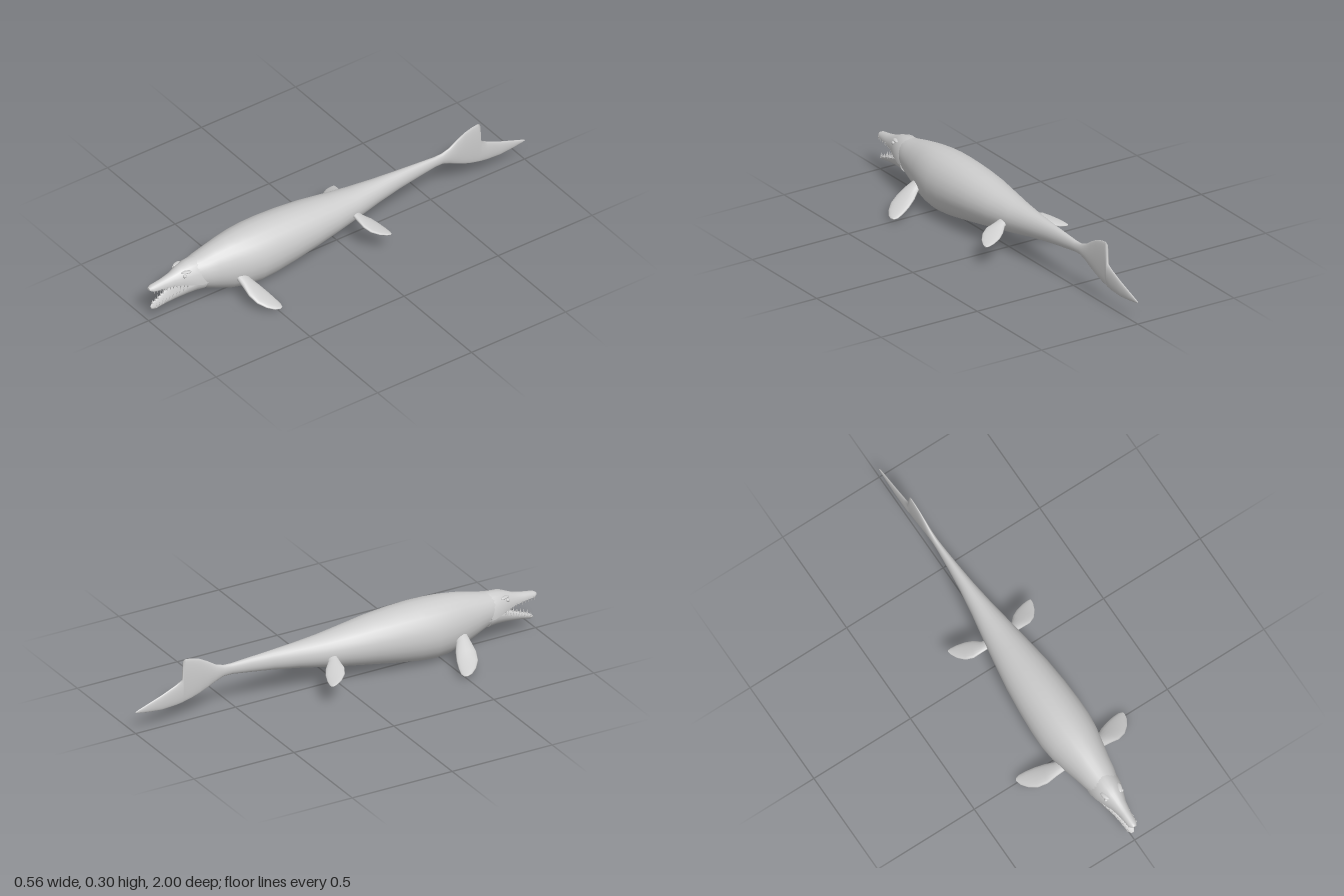
import * as THREE from 'three';

const material = new THREE.MeshStandardMaterial({ color: 0xcccccc, roughness: 0.8 });

// Skin a list of closed rings, with a fan cap at each end
function loft(rings) {
  const n = rings[0].length, pos = [], idx = [];
  rings.forEach(r => r.forEach(p => pos.push(p.x, p.y, p.z)));
  for (let i = 0; i < rings.length - 1; i++) {
    for (let k = 0; k < n; k++) {
      const a = i * n + k, j = i * n + (k + 1) % n;
      idx.push(a, a + n, j, j, a + n, j + n);
    }
  }
  [0, rings.length - 1].forEach((ri, end) => {
    const base = pos.length / 3;
    const c = rings[ri].reduce((s, p) => s.add(p), new THREE.Vector3()).divideScalar(n);
    [...rings[ri], c].forEach(p => pos.push(p.x, p.y, p.z));
    for (let k = 0; k < n; k++) {
      const a = base + k, j = base + (k + 1) % n;
      idx.push(base + n, ...(end ? [j, a] : [a, j]));
    }
  });
  const g = new THREE.BufferGeometry();
  g.setAttribute('position', new THREE.Float32BufferAttribute(pos, 3));
  g.setIndex(idx);
  g.computeVertexNormals();
  return g;
}

// Section station: [z, top, widest height, bottom, half width]
function section([z, top, mid, bottom, w], n = 24) {
  return Array.from({ length: n }, (_, k) => {
    const t = k / n * Math.PI * 2, s = Math.sin(t);
    return new THREE.Vector3(w * Math.cos(t), mid + s * (s > 0 ? top - mid : mid - bottom), z);
  });
}

// Linear lookup in a station list running from front to back
function sample(stations, z) {
  const i = Math.max(1, stations.findIndex(s => s[0] <= z));
  const a = stations[i - 1], b = stations[i], t = (z - a[0]) / (b[0] - a[0]);
  return a.map((v, k) => v + (b[k] - v) * t);
}

// Trunk, tail stem and two-lobed tail fin: [z, top, bottom, half width]
const BODY = [
  [0.79, 0.232, 0.088, 0.057], [0.73, 0.243, 0.078, 0.075], [0.67, 0.258, 0.05, 0.086],
  [0.6, 0.272, 0.022, 0.102], [0.53, 0.28, 0.008, 0.117], [0.46, 0.284, 0.003, 0.125],
  [0.38, 0.285, 0.011, 0.125], [0.28, 0.281, 0.028, 0.12], [0.16, 0.271, 0.051, 0.109],
  [0.04, 0.256, 0.073, 0.091], [-0.08, 0.243, 0.096, 0.071], [-0.2, 0.236, 0.12, 0.05],
  [-0.32, 0.231, 0.141, 0.033], [-0.43, 0.226, 0.157, 0.022], [-0.52, 0.221, 0.17, 0.015],
  [-0.56, 0.223, 0.17, 0.013], [-0.6, 0.236, 0.155, 0.012], [-0.64, 0.262, 0.135, 0.011],
  [-0.68, 0.284, 0.118, 0.01], [-0.72, 0.296, 0.105, 0.0095], [-0.75, 0.3, 0.098, 0.009],
  [-0.762, 0.295, 0.095, 0.009], [-0.766, 0.205, 0.094, 0.009], [-0.8, 0.185, 0.089, 0.009],
  [-0.87, 0.155, 0.085, 0.008], [-0.94, 0.13, 0.092, 0.006], [-0.985, 0.114, 0.099, 0.004],
  [-1, 0.107, 0.103, 0.002],
].map(([z, top, bottom, w]) => [z, top, (top + bottom) / 2, bottom, w]);

// Skull with a hollow palate
const UPPER_JAW = [
  [1, 0.178, 0.169, 0.167, 0.01], [0.985, 0.186, 0.165, 0.169, 0.021],
  [0.93, 0.195, 0.161, 0.167, 0.026], [0.88, 0.207, 0.158, 0.165, 0.035],
  [0.84, 0.225, 0.154, 0.162, 0.05], [0.8, 0.235, 0.145, 0.155, 0.064],
  [0.76, 0.239, 0.135, 0.14, 0.071], [0.72, 0.24, 0.13, 0.12, 0.07],
];

// Lower jaw with a trough between the tooth rows
const LOWER_JAW = [
  [0.985, 0.067, 0.068, 0.06, 0.008], [0.97, 0.07, 0.076, 0.058, 0.018],
  [0.92, 0.084, 0.094, 0.067, 0.025], [0.87, 0.1, 0.111, 0.075, 0.037],
  [0.82, 0.122, 0.131, 0.081, 0.053], [0.78, 0.138, 0.142, 0.083, 0.064],
  [0.74, 0.145, 0.142, 0.08, 0.072],
];

// Flipper stations: [x, y, z, half chord, half thickness]
const FRONT_FLIPPER = [
  [0.085, 0.115, 0.575, 0.028, 0.016], [0.125, 0.097, 0.568, 0.033, 0.016],
  [0.165, 0.072, 0.556, 0.045, 0.014], [0.205, 0.05, 0.54, 0.047, 0.012],
  [0.24, 0.033, 0.52, 0.038, 0.01], [0.265, 0.022, 0.502, 0.024, 0.008],
  [0.277, 0.019, 0.492, 0.008, 0.004],
];
const HIND_FLIPPER = [
  [0.055, 0.162, -0.052, 0.02, 0.013], [0.09, 0.149, -0.06, 0.026, 0.012],
  [0.125, 0.136, -0.075, 0.041, 0.011], [0.155, 0.122, -0.092, 0.042, 0.009],
  [0.185, 0.111, -0.113, 0.031, 0.007], [0.205, 0.105, -0.13, 0.016, 0.005],
  [0.213, 0.103, -0.138, 0.005, 0.003],
];

function flipper(stations, chord, side) {
  const at = ([x, y, z]) => new THREE.Vector3(x * side, y, z);
  const axis = at(stations.at(-1)).sub(at(stations[0])).normalize();
  const u = at(chord).normalize();
  const v = u.clone().cross(axis).normalize();
  return loft(stations.map(s => Array.from({ length: 16 }, (_, k) => {
    const t = k / 16 * Math.PI * 2;
    return at(s).addScaledVector(u, s[3] * Math.cos(t)).addScaledVector(v, s[4] * Math.sin(t));
  })));
}

export function createModel() {
  const model = new THREE.Group();
  model.name = 'marineReptile';
  const add = (name, geometry, parent = model) => {
    const mesh = new THREE.Mesh(geometry, material);
    mesh.name = name;
    parent.add(mesh);
    return mesh;
  };

  add('bodyAndTail', loft(BODY.map(s => section(s))));
  add('upperJaw', loft(UPPER_JAW.map(s => section(s))));
  add('lowerJaw', loft(LOWER_JAW.map(s => section(s))));

  // Tooth rows along both jaw edges
  const teeth = new THREE.Group();
  teeth.name = 'teeth';
  model.add(teeth);
  const cone = new THREE.ConeGeometry(0.0045, 0.022, 6);
  const toothRow = (name, jaw, dir, first, last, count, side) => {
    for (let i = 0; i < count; i++) {
      const z = first + (last - first) * i / (count - 1);
      const [, , edge, , w] = sample(jaw, z);
      const tooth = add(name, cone, teeth);
      tooth.position.set(side * w * 0.88, edge + dir * 0.007, z);
      if (dir < 0) tooth.rotation.x = Math.PI;
      tooth.scale.setScalar(i % 2 ? 0.85 : 1.05);
    }
  };

  const eye = new THREE.SphereGeometry(0.0085, 12, 8);
  const brow = new THREE.SphereGeometry(0.012, 12, 8);
  for (const side of [1, -1]) {
    const label = side > 0 ? 'left' : 'right';
    toothRow('upperTooth', UPPER_JAW, -1, 0.982, 0.825, 11, side);
    toothRow('lowerTooth', LOWER_JAW, 1, 0.968, 0.825, 10, side);

    add(label + 'Eye', eye).position.set(side * 0.041, 0.196, 0.837);
    const ridge = add(label + 'Brow', brow);
    ridge.position.set(side * 0.037, 0.211, 0.825);
    ridge.scale.set(0.9, 0.5, 2);
    ridge.rotation.y = side * -0.3;

    add(label + 'FrontFlipper', flipper(FRONT_FLIPPER, [0.4, 0, 0.9], side));
    add(label + 'HindFlipper', flipper(HIND_FLIPPER, [0.5, 0.1, 0.85], side));
  }
  return model;
}
